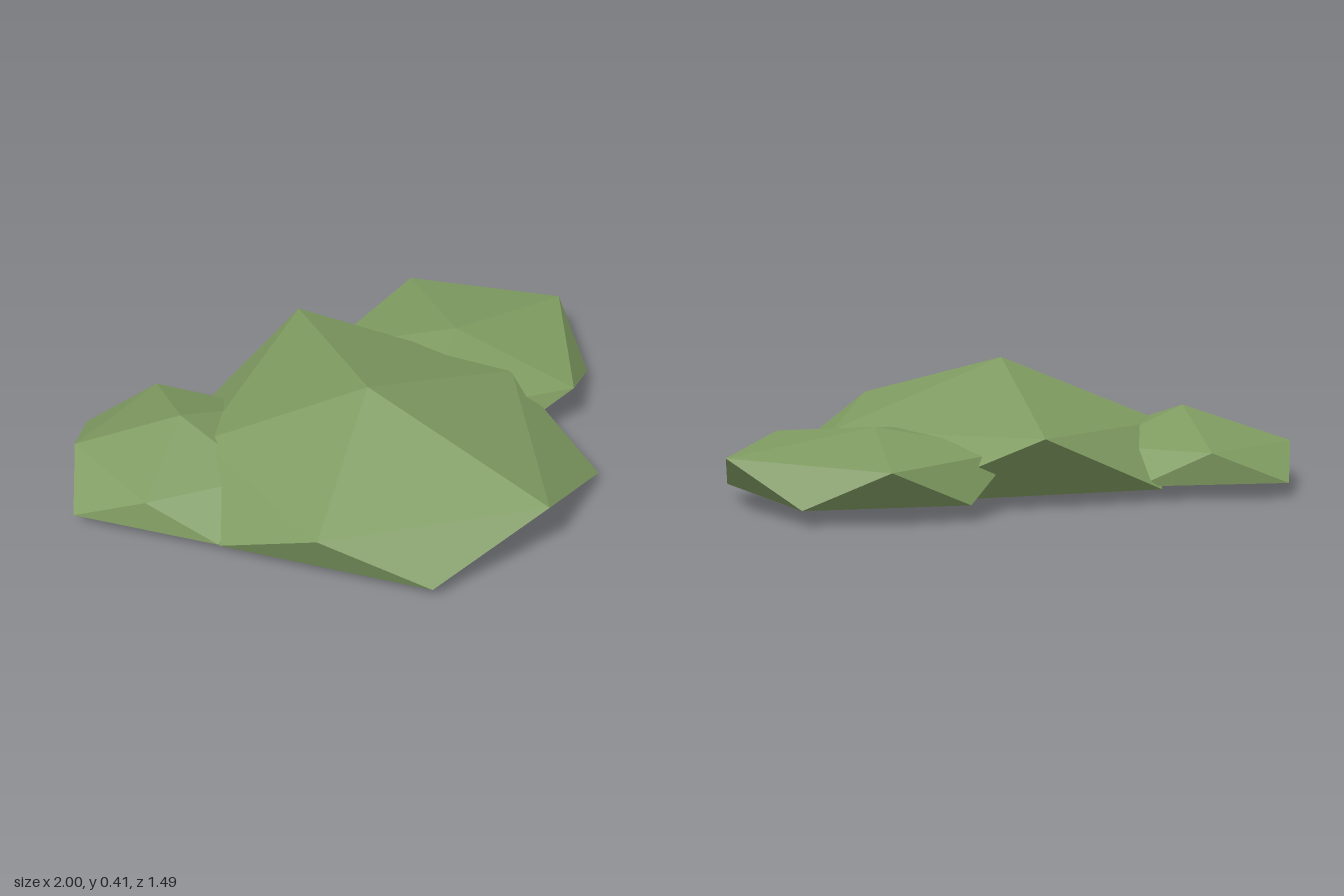
import * as THREE from 'three';

const leafGreen = new THREE.MeshStandardMaterial({ color: 0x7f9b61, flatShading: true });
leafGreen.name = 'leafGreen';

// One squashed, irregular twenty-sided clump: apex, upper ring, lower ring, base point.
// Each ring entry is [radius, height]; the rings are offset by 36 degrees.
function makeClump(name, cx, cz, topY, baseY, upper, lower) {
  const ringPoints = (ring, offset) => ring.map(([r, y], i) => {
    const a = THREE.MathUtils.degToRad(offset + 72 * i);
    return [cx + r * Math.cos(a), y, cz + r * Math.sin(a)];
  });
  const U = ringPoints(upper, 0);
  const L = ringPoints(lower, 36);
  const top = [cx, topY, cz];
  const base = [cx, baseY, cz];

  const positions = [];
  const face = (a, b, c) => positions.push(...a, ...b, ...c);
  for (let i = 0; i < 5; i++) {
    const j = (i + 1) % 5;
    face(top, U[j], U[i]);
    face(U[i], U[j], L[i]);
    face(L[i], U[j], L[j]);
    face(base, L[i], L[j]);
  }
  const geometry = new THREE.BufferGeometry();
  geometry.setAttribute('position', new THREE.Float32BufferAttribute(positions, 3));
  geometry.computeVertexNormals();
  const mesh = new THREE.Mesh(geometry, leafGreen);
  mesh.name = name;
  return mesh;
}

export function createModel() {
  const group = new THREE.Group();
  group.name = 'lowBush';

  // Large central clump
  group.add(makeClump('mainClump', -0.10, 0.08, 0.41, 0,
    [[0.63, 0.2], [0.695, 0.228], [0.55, 0.2], [0.55, 0.2], [0.757, 0.24]],
    [[0.78, 0.035], [0.61, 0.045], [0.6, 0.045], [0.71, 0.04], [0.78, 0.035]]));

  // Flat clump on the +x side
  group.add(makeClump('leftClump', 0.50, -0.19, 0.245, 0.03,
    [[0.495, 0.182], [0.485, 0.182], [0.45, 0.18], [0.45, 0.18], [0.463, 0.175]],
    [[0.482, 0.05], [0.43, 0.05], [0.43, 0.05], [0.43, 0.05], [0.435, 0.05]]));

  // Small clump on the -x side
  group.add(makeClump('rightClump', -0.57, -0.33, 0.265, 0.035,
    [[0.33, 0.15], [0.33, 0.15], [0.33, 0.15], [0.36, 0.152], [0.35, 0.155]],
    [[0.4, 0.05], [0.43, 0.05], [0.43, 0.053], [0.437, 0.052], [0.4, 0.05]]));

  return group;
}
